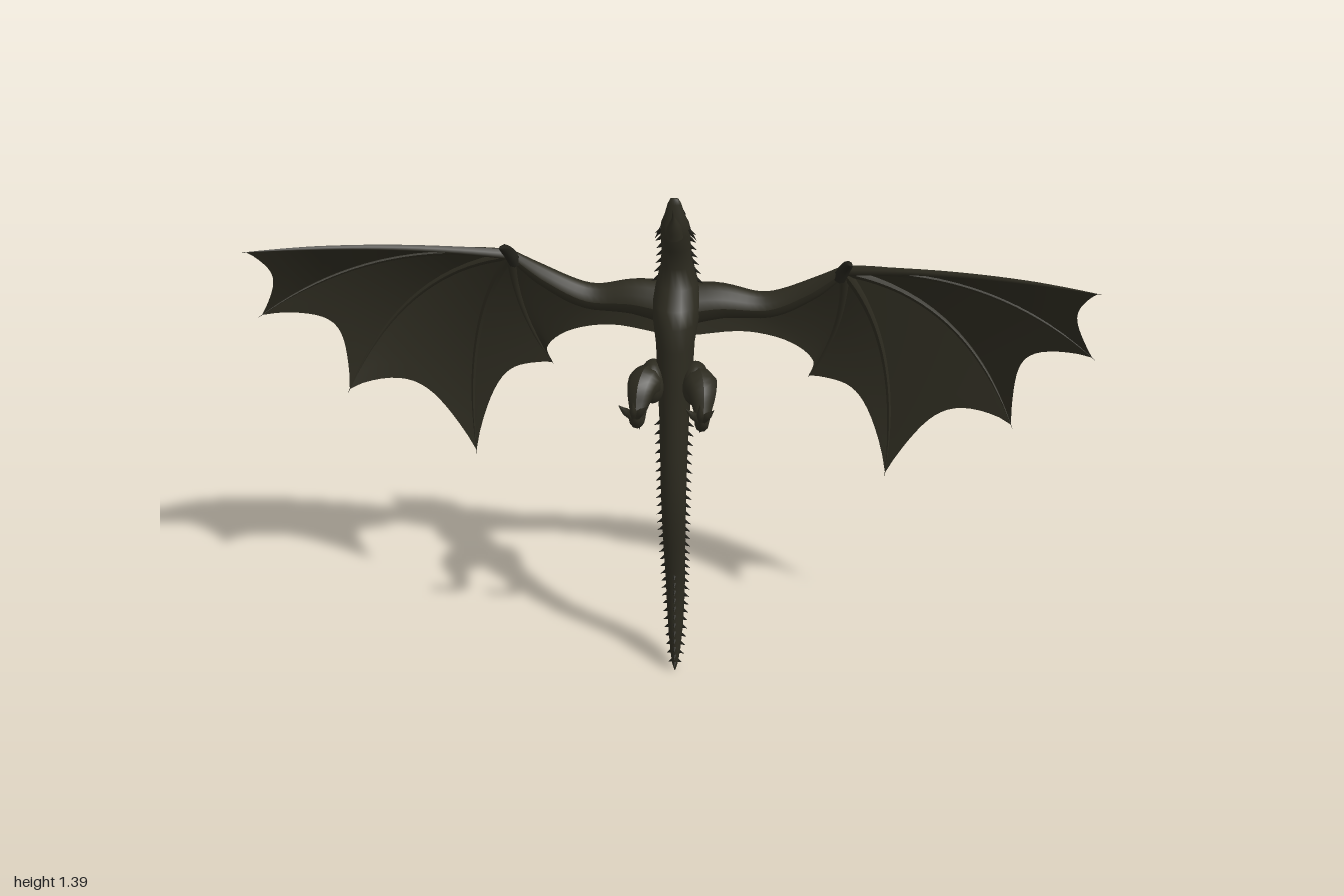
import * as THREE from 'three';
import { mergeGeometries, mergeVertices } from 'three/addons/utils/BufferGeometryUtils.js';

const V = (x, y, z) => new THREE.Vector3(x, y, z);

export function createModel() {
  const hide = new THREE.MeshStandardMaterial({ color: 0x2d2b20 });
  hide.name = 'dark olive hide';
  const membraneMat = new THREE.MeshStandardMaterial({ color: 0x2d2b20, side: THREE.DoubleSide });
  membraneMat.name = 'olive wing membrane';
  const horn = new THREE.MeshStandardMaterial({ color: 0x22211a });
  horn.name = 'dark horn';

  const model = new THREE.Group();
  model.name = 'dragon';
  const add = (parent, name, geo, mat = hide) => {
    const m = new THREE.Mesh(geo, mat);
    m.name = name;
    parent.add(m);
    return m;
  };

  // Surface through a grid of points fn(row 0..1, column 0..1)
  const sheet = (rows, cols, fn) => {
    const pos = [], idx = [];
    for (let i = 0; i <= rows; i++)
      for (let j = 0; j <= cols; j++) pos.push(...fn(i / rows, j / cols).toArray());
    for (let i = 0; i < rows; i++)
      for (let j = 0; j < cols; j++) {
        const a = i * (cols + 1) + j, b = a + 1, c = a + cols + 1, d = c + 1;
        idx.push(a, b, c, b, d, c);
      }
    let g = new THREE.BufferGeometry();
    g.setAttribute('position', new THREE.Float32BufferAttribute(pos, 3));
    g.setIndex(idx);
    g = mergeVertices(g, 1e-5);
    g.computeVertexNormals();
    return g;
  };

  // Tube whose radius follows a list of values
  const limb = (curve, radii, n = 20, sides = 10) => {
    const g = new THREE.TubeGeometry(curve, n, 1, sides), p = g.attributes.position;
    for (let i = 0; i <= n; i++) {
      const f = (i / n) * (radii.length - 1), k = Math.min(Math.floor(f), radii.length - 2);
      const r = THREE.MathUtils.lerp(radii[k], radii[k + 1], f - k), c = curve.getPointAt(i / n);
      for (let j = 0; j <= sides; j++) {
        const q = i * (sides + 1) + j;
        const v = V(0, 0, 0).fromBufferAttribute(p, q).sub(c).multiplyScalar(r).add(c);
        p.setXYZ(q, v.x, v.y, v.z);
      }
    }
    g.computeVertexNormals();
    return g;
  };
  const spline = (pts) => new THREE.CatmullRomCurve3(pts);

  // Cone from base point to tip
  const spike = (from, to, r, sides = 5) => {
    const d = to.clone().sub(from), len = d.length();
    const g = new THREE.ConeGeometry(r, len, sides).translate(0, len / 2, 0);
    g.applyQuaternion(new THREE.Quaternion().setFromUnitVectors(V(0, 1, 0), d.normalize()));
    return g.translate(from.x, from.y, from.z);
  };

  // Body rings from tail tip to snout: height, front z, back z, half width
  const rings = [
    [0.0, -0.044, -0.047, 0.001], [0.02, -0.04, -0.055, 0.007], [0.06, -0.035, -0.078, 0.013],
    [0.12, -0.032, -0.094, 0.018], [0.17, -0.033, -0.096, 0.021], [0.25, -0.037, -0.086, 0.024],
    [0.33, -0.027, -0.071, 0.026], [0.42, -0.01, -0.053, 0.028], [0.5, 0.004, -0.04, 0.03],
    [0.6, 0.014, -0.037, 0.032], [0.7, 0.015, -0.048, 0.034], [0.8, 0.012, -0.068, 0.037],
    [0.9, 0.01, -0.09, 0.043], [1.0, 0.013, -0.122, 0.047], [1.06, 0.008, -0.148, 0.056],
    [1.1, -0.012, -0.158, 0.058], [1.14, -0.045, -0.156, 0.05], [1.19, -0.062, -0.138, 0.039],
    [1.25, -0.037, -0.108, 0.035], [1.295, -0.021, -0.084, 0.036], [1.325, -0.02, -0.07, 0.033],
    [1.35, -0.022, -0.056, 0.024], [1.38, -0.024, -0.044, 0.016], [1.393, -0.028, -0.038, 0.01],
    [1.395, -0.032, -0.034, 0.001],
  ];
  const bodyAt = (y) => {
    let k = 0;
    while (k < rings.length - 2 && rings[k + 1][0] < y) k++;
    const f = (y - rings[k][0]) / (rings[k + 1][0] - rings[k][0]);
    const [zf, zb, w] = [1, 2, 3].map((c) => THREE.MathUtils.lerp(rings[k][c], rings[k + 1][c], f));
    return { zf, zb, w, c: (zf + zb) / 2 };
  };
  add(model, 'bodyNeckAndTail', sheet(rings.length - 1, 20, (t, u) => {
    const [y, zf, zb, w] = rings[Math.round(t * (rings.length - 1))], a = (u % 1) * Math.PI * 2;
    return V(w * Math.sin(a), y, (zf + zb) / 2 + ((zf - zb) / 2) * Math.cos(a));
  }));

  // Open lower jaw, brows and swept horns
  add(model, 'lowerJaw', limb(spline([V(0, 1.3, -0.035), V(0, 1.345, -0.012), V(0, 1.382, 0.004)]),
    [0.024, 0.016, 0.004, 0.0005], 10));
  const horns = [];
  for (const s of [-1, 1]) {
    horns.push(spike(V(s * 0.022, 1.32, -0.062), V(s * 0.036, 1.25, -0.115), 0.009, 6));
    horns.push(spike(V(s * 0.03, 1.31, -0.045), V(s * 0.05, 1.272, -0.06), 0.007, 6));
    horns.push(spike(V(s * 0.012, 1.36, -0.045), V(s * 0.024, 1.335, -0.068), 0.007, 6));
  }
  add(model, 'headHorns', mergeGeometries(horns), horn);

  // Rows of spikes: double crest on the back, one row each side, keel under the tail
  const spikes = [];
  for (let y = 0.03; y < 1.33; y += 0.026) {
    const { zf, zb, w, c } = bodyAt(y), l = 0.012 + Math.min(w, 0.04) * 0.22;
    for (const s of [-1, 1]) {
      const x = s * w * 0.28;
      spikes.push(spike(V(x, y, zb + 0.005), V(x * 1.2, y - l * 0.6, zb - l * 0.75), 0.006));
      if (y < 0.8 || y > 1.14)
        spikes.push(spike(V(s * (w - 0.004), y, c), V(s * (w + l * 0.7), y - l * 0.7, c - 0.004), 0.006));
    }
    if (y < 0.32) spikes.push(spike(V(0, y, zf - 0.004), V(0, y - 0.008, zf + 0.011), 0.005));
  }
  add(model, 'spineSpikes', mergeGeometries(spikes), horn);

  for (const s of [-1, 1]) {
    const P = (x, y, z) => V(s * x, y, z);
    const side = s > 0 ? 'left' : 'right';

    // Wing arm and thumb claw
    const wing = new THREE.Group();
    wing.name = side + 'Wing';
    model.add(wing);
    const wrist = P(0.4, 1.2, -0.08);
    const arm = spline([P(0, 1.07, -0.11), P(0.1, 1.083, -0.115), P(0.22, 1.078, -0.117), P(0.32, 1.13, -0.105), wrist]);
    add(wing, 'wingArm', limb(arm, [0.055, 0.046, 0.034, 0.03, 0.024, 0.012], 24, 12));
    add(wing, 'thumbClaw', limb(spline([P(0.39, 1.18, -0.085), P(0.407, 1.222, -0.06), P(0.413, 1.26, 0.005)]),
      [0.018, 0.012, 0.0005], 8, 8), horn);

    // Fingers: control point and tip
    const fingers = [
      [P(0.7, 1.278, 0.03), P(0.985, 1.305, 0.17)],
      [P(0.75, 1.22, -0.1), P(0.997, 1.068, 0.055)],
      [P(0.7, 1.08, -0.2), P(0.828, 0.785, -0.08)],
      [P(0.55, 0.95, -0.19), P(0.523, 0.575, -0.155)],
      [P(0.41, 1.0, -0.165), P(0.32, 0.845, -0.175)],
    ].map(([c, tip]) => new THREE.QuadraticBezierCurve3(wrist, c, tip));
    fingers.forEach((f, i) => add(wing, 'wingFinger' + (i + 1),
      limb(f, [0.013, 0.009, 0.007, 0.005, 0.0005], 20, 6)));

    // Scalloped membrane between neighbouring fingers
    [0.075, 0.16, 0.15, 0.19].forEach((depth, i) => add(wing, 'wingMembrane' + (i + 1),
      sheet(14, 16, (t, u) => {
        const v = t * (0.985 - depth * Math.pow(Math.sin(Math.PI * u), 0.8));
        return fingers[i].getPoint(v).lerp(fingers[i + 1].getPoint(v), u);
      }), membraneMat));

    // Inner membrane between arm, body and last finger
    const trail = spline([P(0.03, 0.99, -0.1), P(0.17, 0.998, -0.12), P(0.28, 0.96, -0.14),
      P(0.332, 0.9, -0.16), P(0.32, 0.845, -0.175)]);
    const bow = fingers[4].v1.clone().sub(wrist.clone().lerp(fingers[4].v2, 0.5));
    add(wing, 'innerMembrane', sheet(20, 10, (t, u) =>
      arm.getPoint(t).lerp(trail.getPoint(t), u).addScaledVector(bow, 2 * u * (1 - u) * t ** 3)), membraneMat);

    // Folded hind leg
    const leg = new THREE.Group();
    leg.name = side + 'Leg';
    model.add(leg);
    const thigh = add(leg, 'thigh', new THREE.SphereGeometry(1, 18, 14));
    thigh.scale.set(0.034, 0.055, 0.055);
    thigh.position.set(s * 0.052, 0.9, -0.025);
    add(leg, 'shin', limb(spline([P(0.055, 0.91, -0.03), P(0.072, 0.91, 0.02), P(0.078, 0.875, 0.06),
      P(0.078, 0.85, 0.082), P(0.08, 0.875, 0.115), P(0.08, 0.91, 0.14)]),
      [0.035, 0.042, 0.032, 0.021, 0.016, 0.014, 0.003], 24, 10));
    for (const k of [-1, 0, 1])
      add(leg, 'toe', limb(spline([P(0.08 + k * 0.006, 0.895, 0.132), P(0.08 + k * 0.022, 0.92, 0.15),
        P(0.08 + k * 0.034, 0.95 - Math.abs(k) * 0.012, 0.158)]), [0.01, 0.009, 0.0005], 8, 6));
    add(leg, 'heelClaw', spike(P(0.078, 0.855, 0.08), P(0.072, 0.826, 0.083), 0.011, 6), horn);
  }
  return model;
}
